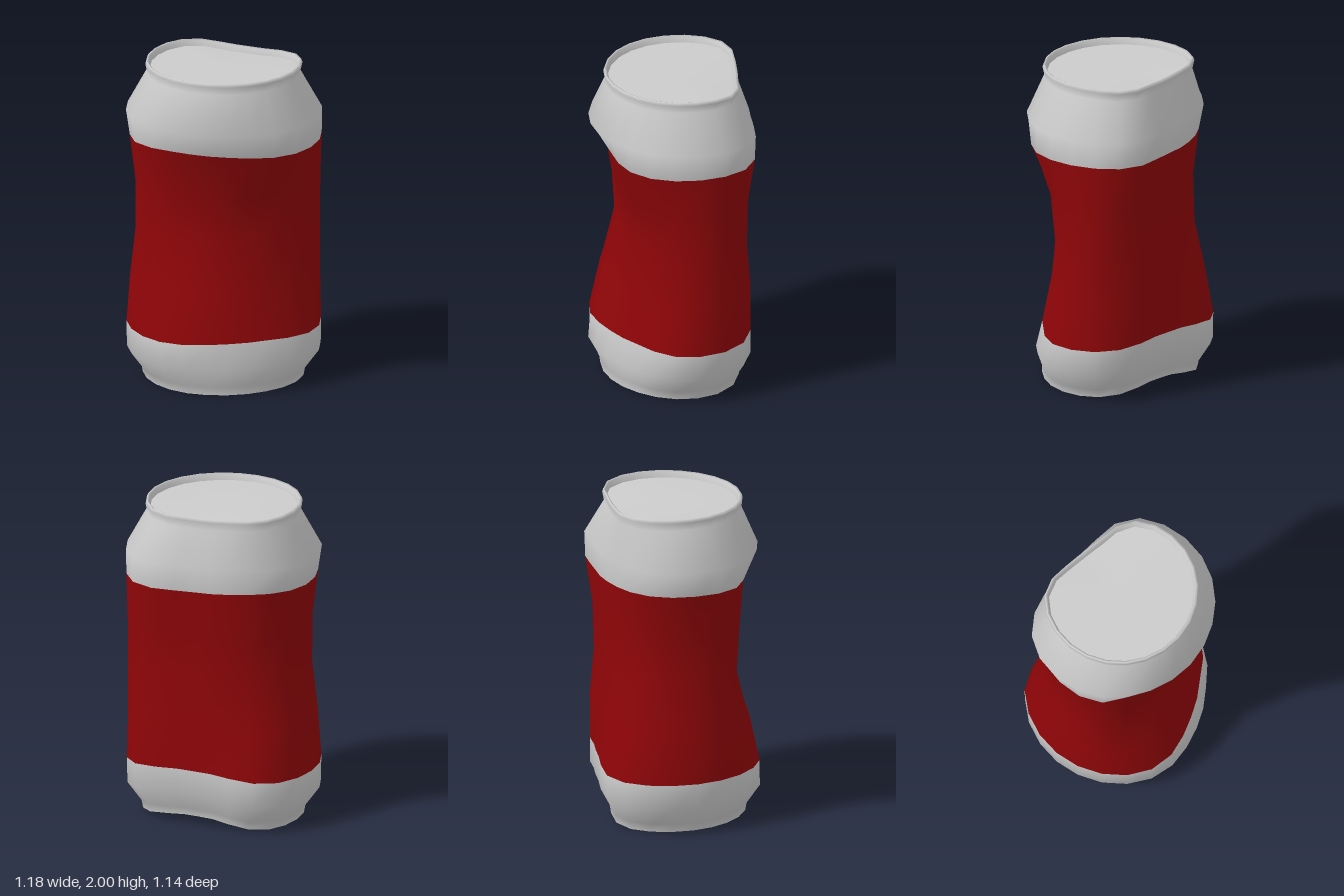
import * as THREE from 'three';

const SIDES = 24;

// Cross-sections from foot to rim:
// height, radius, side crease and front dent as [depth, angle, width before, width after], back dent depth, shift at the crease
const rimRow = (y, r) => [y, r, [0.13, -48, 41, 37], [0.008, 115, 45, 45], 0, -0.02];
const ROWS = [
  [0.00, 0.495, [0.14, -45, 38, 37], [0.02, 90, 30, 40], 0, 0.055],
  [0.05, 0.505, [0.145, -45, 38, 37], [0.03, 90, 30, 40], 0, 0.05],
  [0.17, 0.592, [0.165, -45, 39, 37], [0.080, 92, 32, 44], 0, 0.05],
  [0.33, 0.594, [0.17, -45, 39, 37], [0.120, 92, 35, 44], 0, 0.04],
  [0.63, 0.590, [0.18, -48, 46, 38], [0.175, 100, 51, 54], 0.03, 0.02],
  [0.94, 0.600, [0.21, -46, 54, 40], [0.245, 118, 69, 54], 0.09, 0.01],
  [1.24, 0.597, [0.20, -47, 56, 40], [0.200, 118, 66, 54], 0.085, 0],
  [1.53, 0.597, [0.175, -52, 54, 38], [0.140, 130, 48, 42], 0.035, 0],
  [1.69, 0.599, [0.175, -52, 53, 37], [0.036, 125, 60, 48], 0, 0],
  rimRow(1.93, 0.468), rimRow(1.98, 0.480), rimRow(2.0, 0.473),
  rimRow(1.995, 0.460), rimRow(1.96, 0.450),
];
const FOOT = ROWS[0], LID = ROWS[ROWS.length - 1];

// Rounded hump around an angle, with its own width on each side
function hump(angle, centre, before, after) {
  const d = ((angle - centre + 540) % 360) - 180;
  return Math.exp(-(Math.abs(d / (d < 0 ? before : after)) ** 3));
}

// One dented cross-section as a flat list of coordinates
function ring([y, r, [crease, ...creaseAt], [front, ...frontAt], back, lift]) {
  const out = [];
  for (let j = 0; j < SIDES; j++) {
    const deg = 2 + (j * 360) / SIDES, a = THREE.MathUtils.degToRad(deg);
    const radius = r - crease * hump(deg, ...creaseAt) - front * hump(deg, ...frontAt)
      - back * hump(deg, -130, 40, 40);
    out.push(radius * Math.cos(a), y + lift * hump(deg, -37, 45, 45), radius * Math.sin(a));
  }
  return out;
}

// Skin over a stack of cross-sections, smooth all the way round
function skin(rows) {
  const index = [];
  for (let i = 0; i < rows.length - 1; i++) {
    for (let j = 0; j < SIDES; j++) {
      const a = i * SIDES + j, b = i * SIDES + ((j + 1) % SIDES);
      index.push(a, a + SIDES, b, b, a + SIDES, b + SIDES);
    }
  }
  const geo = new THREE.BufferGeometry();
  geo.setAttribute('position', new THREE.Float32BufferAttribute(rows.flatMap(ring), 3));
  geo.setIndex(index);
  geo.computeVertexNormals();
  return geo;
}

// Part of a skin between two cross-sections, keeping the shared normals
function slice(geo, from, to) {
  const part = new THREE.BufferGeometry();
  part.setAttribute('position', geo.attributes.position);
  part.setAttribute('normal', geo.attributes.normal);
  part.setIndex(Array.from(geo.index.array.slice(from * SIDES * 6, to * SIDES * 6)));
  return part;
}

// End filling one cross-section
function disc(row, up) {
  const index = [];
  for (let j = 0; j < SIDES; j++) {
    const k = (j + 1) % SIDES;
    index.push(SIDES, up ? k : j, up ? j : k);
  }
  const geo = new THREE.BufferGeometry();
  geo.setAttribute('position', new THREE.Float32BufferAttribute([...ring(row), 0, row[0], 0], 3));
  geo.setIndex(index);
  geo.computeVertexNormals();
  return geo;
}

export function createModel() {
  const can = new THREE.Group();
  can.name = 'dentedCan';
  const grey = new THREE.MeshStandardMaterial({ color: 0xcccccc });
  const red = new THREE.MeshStandardMaterial({ color: 0x900508 });
  const add = (name, geo, material) => {
    const mesh = new THREE.Mesh(geo, material);
    mesh.name = name;
    can.add(mesh);
  };

  // Crumpled wall: grey foot, red band, grey shoulder and rim
  const wall = skin(ROWS);
  add('foot', slice(wall, 0, 3), grey);
  add('colourBand', slice(wall, 3, 7), red);
  add('shoulder', slice(wall, 7, 9), grey);
  add('rim', slice(wall, 9, 13), grey);

  // Underside and sunken lid
  add('underside', disc(FOOT, false), grey);
  add('lid', disc(LID, true), grey);
  return can;
}
